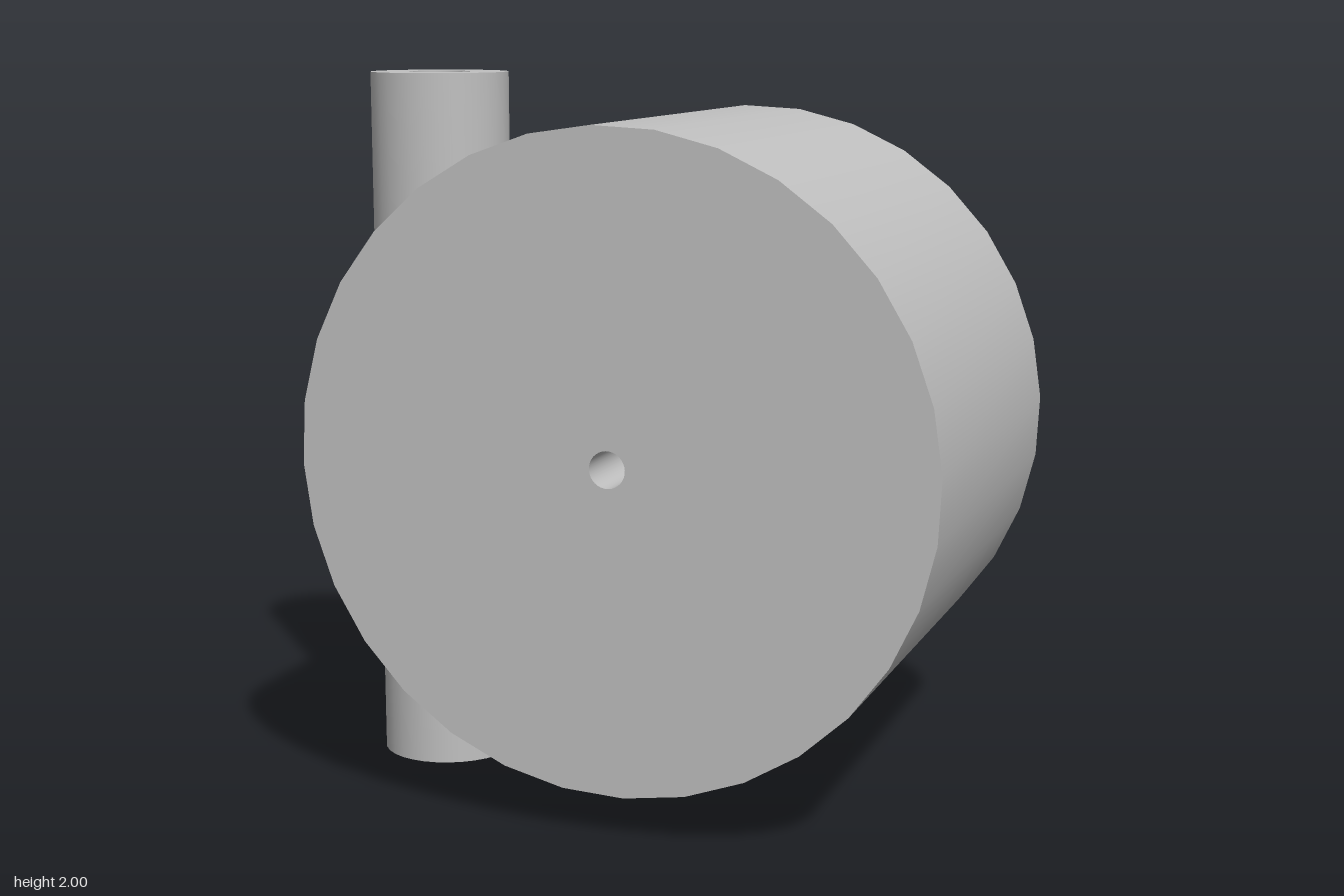
import * as THREE from 'three';
import { mergeGeometries } from 'three/addons/utils/BufferGeometryUtils.js';

// Solid of revolution with a bore; each profile edge is its own lathe so rims stay sharp
function boredCylinder(radius, bore, height, sides) {
  const h = height / 2;
  const profile = [[radius, -h], [radius, h], [bore, h], [bore, -h]]
    .map(([x, y]) => new THREE.Vector2(x, y));
  return mergeGeometries(profile.map((p, i) =>
    new THREE.LatheGeometry([p, profile[(i + 1) % profile.length]], sides)));
}

export function createModel() {
  const group = new THREE.Group();
  const grey = new THREE.MeshStandardMaterial({ color: 0xc0c0c0 });
  grey.name = 'plain grey';

  // Large drum lying along z, with a small axle hole right through it
  const drumGeometry = boredCylinder(0.887, 0.05, 1.26, 32);
  drumGeometry.rotateX(Math.PI / 2).rotateZ(0.046);
  const drum = new THREE.Mesh(drumGeometry, grey);
  drum.name = 'drum';
  drum.position.set(0.022, 1.002, 0);

  // Upright pipe sunk into the side of the drum
  const pipe = new THREE.Mesh(boredCylinder(0.197, 0.087, 2, 32), grey);
  pipe.name = 'pipe';
  pipe.position.set(-0.721, 1, 0.033);

  group.add(drum, pipe);
  return group;
}
